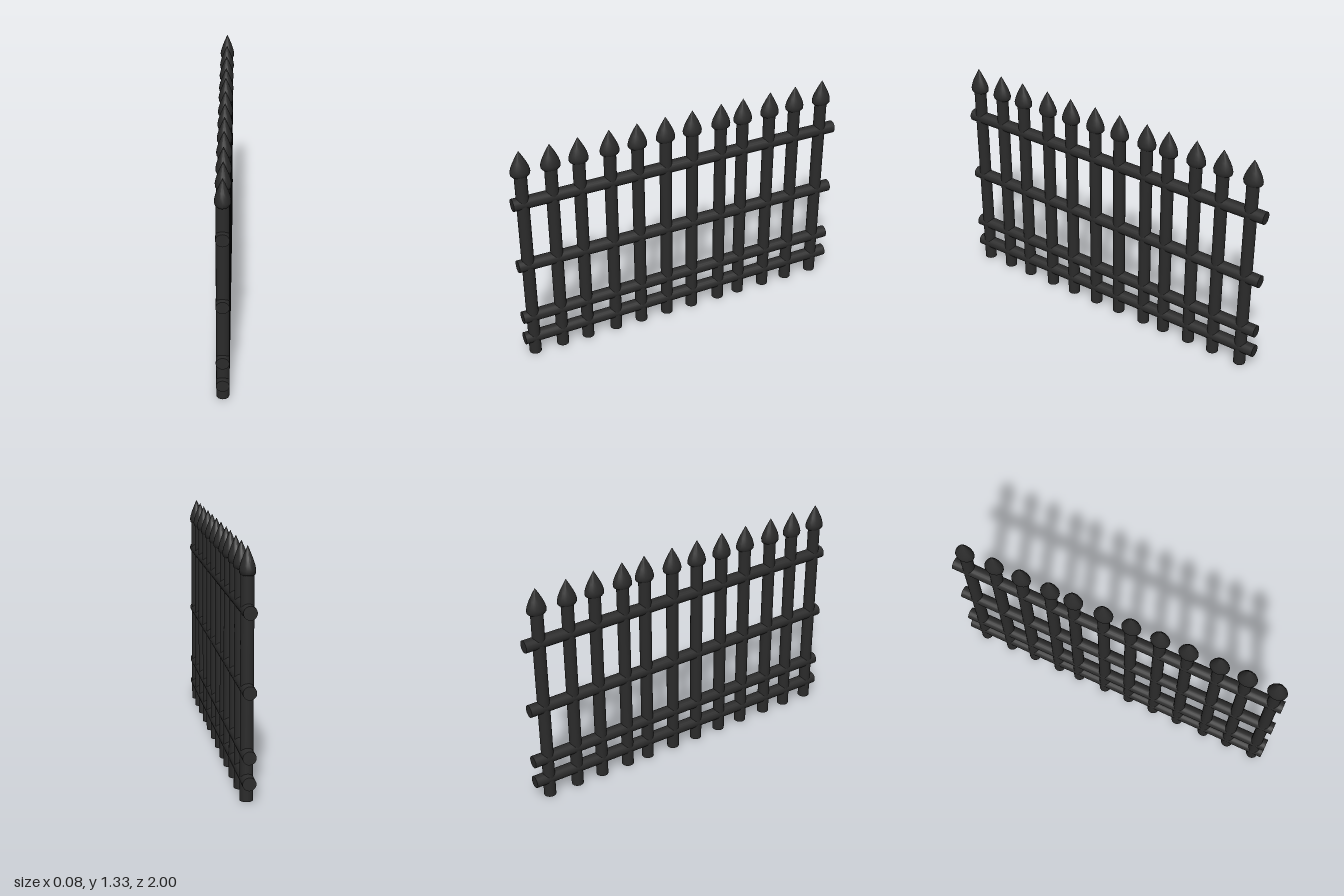
import * as THREE from 'three';
import { toCreasedNormals } from 'three/addons/utils/BufferGeometryUtils.js';

export function createModel() {
  const fence = new THREE.Group();
  fence.name = 'fence';
  const iron = new THREE.MeshStandardMaterial({ color: 0x2b2b2b });
  iron.name = 'dark iron';

  const add = (name, geometry, parent) => {
    const mesh = new THREE.Mesh(geometry, iron);
    mesh.name = name;
    parent.add(mesh);
    return mesh;
  };

  // Shared upright bar
  const barGeometry = new THREE.CylinderGeometry(0.035, 0.035, 1.2, 20).translate(0, 0.6, 0);

  // Spear tip: flat underside, short rim, curved taper to a point; wider along the fence
  const profile = [
    [0, 1.182], [0.036, 1.182], [0.041, 1.19], [0.042, 1.207], [0.037, 1.232],
    [0.028, 1.26], [0.015, 1.293], [0, 1.328],
  ].map(([r, y]) => new THREE.Vector2(r, y));
  const tipGeometry = toCreasedNormals(
    new THREE.LatheGeometry(profile, 20).scale(1, 1, 1.33), 0.7);

  // Unevenly spaced pickets
  const positions = [0.94, 0.77, 0.61, 0.43, 0.265, 0.095, -0.07, -0.25, -0.39, -0.565, -0.73, -0.91];
  for (const z of positions) {
    const picket = new THREE.Group();
    picket.name = 'picket';
    picket.position.z = z;
    add('bar', barGeometry, picket);
    add('spearTip', tipGeometry, picket);
    fence.add(picket);
  }

  // Slightly crooked rails: height at the front end and at the back end
  const rails = [[1.01, 1.005], [0.61, 0.597], [0.256, 0.256], [0.107, 0.117]];
  for (const [front, back] of rails) {
    const geometry = new THREE.CylinderGeometry(0.036, 0.036, 2, 20).rotateX(Math.PI / 2);
    const rail = add('rail', geometry, fence);
    rail.position.y = (front + back) / 2;
    rail.rotation.x = Math.atan2(back - front, 2);
  }
  return fence;
}
